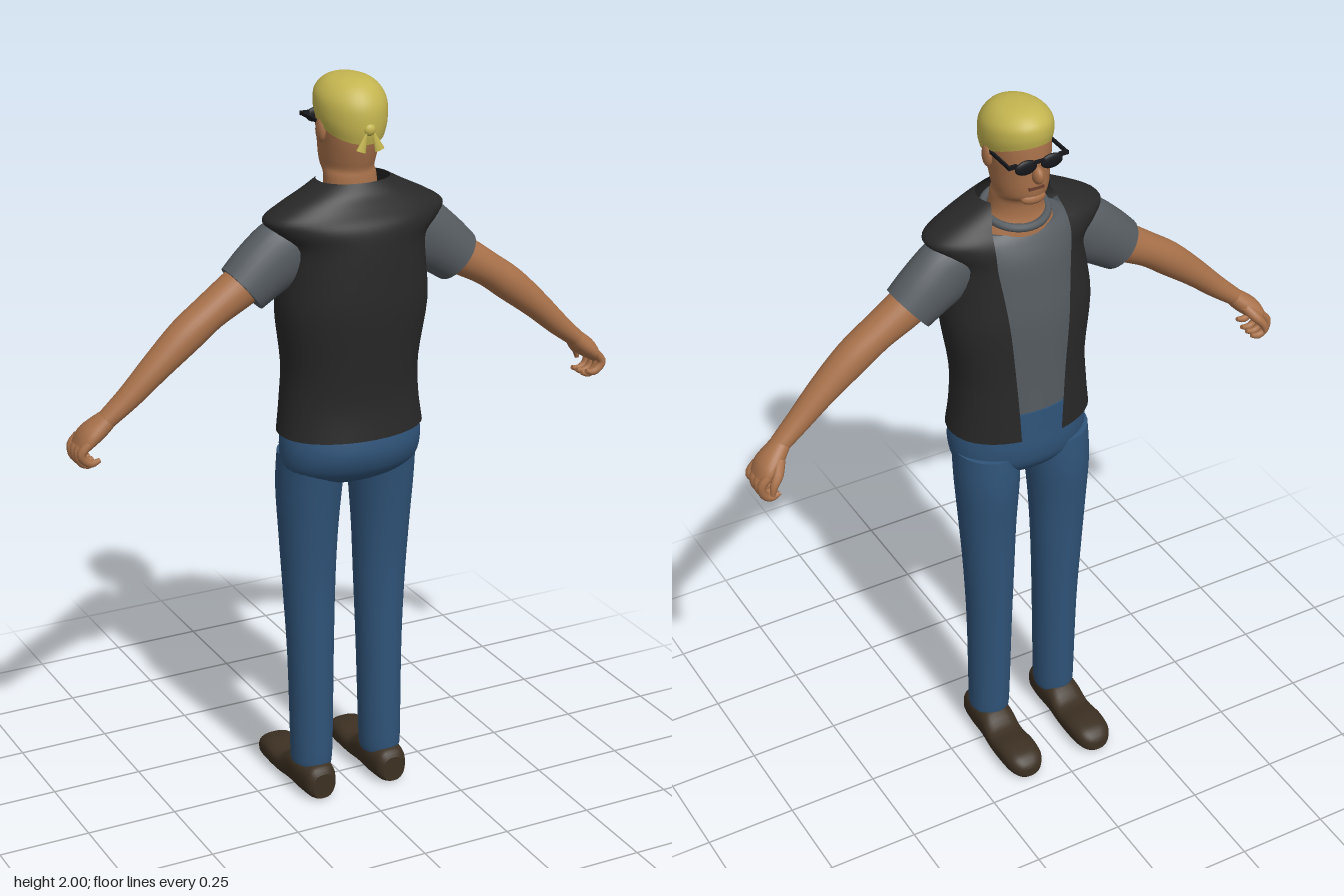
import * as THREE from 'three';

const mat = (name, color, side = THREE.FrontSide) => {
  const m = new THREE.MeshStandardMaterial({ color, side });
  m.name = name;
  return m;
};

// Catmull-Rom refinement of a list of number rows
function refine(rows, sub) {
  const out = [];
  for (let i = 0; i < rows.length - 1; i++) {
    const [a, b, c, d] = [rows[Math.max(i - 1, 0)], rows[i], rows[i + 1], rows[Math.min(i + 2, rows.length - 1)]];
    for (let k = 0; k < sub; k++) {
      const t = k / sub;
      out.push(b.map((q, j) => q + 0.5 * t * (c[j] - a[j] + t * (2 * a[j] - 5 * q + 4 * c[j] - d[j]
        + t * (3 * (q - c[j]) + d[j] - a[j])))));
    }
  }
  out.push(rows[rows.length - 1]);
  return out;
}

const power = (v, p) => Math.sign(v) * Math.abs(v) ** p;

// Closed skin through rows [x, y, z, radius across, radius in z]; p below 1 squares the section
function loft(rows, { n = 28, sub = 4, p = 1 } = {}) {
  const R = refine(rows, sub), pos = [], idx = [];
  const ring = (i) => {
    const [x, y, z, ru, rz] = R[i];
    const a = R[Math.max(i - 1, 0)], b = R[Math.min(i + 1, R.length - 1)];
    const len = Math.hypot(b[0] - a[0], b[1] - a[1]) || 1;
    const ux = (b[1] - a[1]) / len, uy = -(b[0] - a[0]) / len;
    for (let j = 0; j < n; j++) {
      const t = (j / n) * Math.PI * 2, c = power(Math.cos(t), p) * ru;
      pos.push(x + ux * c, y + uy * c, z + power(Math.sin(t), p) * rz);
    }
  };
  R.forEach((_, i) => ring(i));
  for (let i = 0; i < R.length - 1; i++) for (let j = 0; j < n; j++) {
    const a = i * n + j, b = i * n + (j + 1) % n;
    idx.push(a, a + n, b, b, a + n, b + n);
  }
  // end caps
  for (const end of [0, R.length - 1]) {
    const s = pos.length / 3;
    ring(end);
    pos.push(...R[end].slice(0, 3));
    for (let j = 0; j < n; j++) {
      const k = s + (j + 1) % n;
      if (end) idx.push(s + n, k, s + j);
      else idx.push(s + n, s + j, k);
    }
  }
  return surface(pos, idx);
}

function surface(pos, idx) {
  const g = new THREE.BufferGeometry();
  g.setAttribute('position', new THREE.Float32BufferAttribute(pos, 3));
  g.setIndex(idx);
  g.computeVertexNormals();
  return g;
}

// Open-fronted shell from rows [y, z, radius x, radius z, half width of opening]
function openShell(rows, n = 48) {
  const R = refine(rows, 4), pos = [], idx = [];
  R.forEach(([y, z, rx, rz, h], i) => {
    const d = Math.asin(Math.min(h / rx, 0.98));
    for (let j = 0; j <= n; j++) {
      const t = -Math.PI / 2 + d + (j / n) * 2 * (Math.PI - d);
      pos.push(rx * Math.cos(t), y, z + rz * power(Math.sin(t), 0.9));
      if (i < R.length - 1 && j < n) {
        const a = i * (n + 1) + j, b = a + n + 1;
        idx.push(a, b, a + 1, a + 1, b, b + 1);
      }
    }
  });
  return surface(pos, idx);
}

export function createModel() {
  const root = new THREE.Group();
  root.name = 'standingMan';
  const skin = mat('skin', 0xa8714a);
  const cloth = mat('greyShirt', 0x555b60);
  const leather = mat('blackVest', 0x282828, THREE.DoubleSide);
  const denim = mat('blueDenim', 0x2f5378);
  const yellow = mat('yellowCloth', 0xc4b550);
  const brown = mat('brownLeather', 0x3c3022);
  const black = mat('blackPlastic', 0x17181c);
  const lip = mat('lips', 0x6b4030);

  const add = (name, geo, m, x = 0, y = 0, z = 0) => {
    const mesh = new THREE.Mesh(geo, m);
    mesh.name = name;
    mesh.position.set(x, y, z);
    root.add(mesh);
    return mesh;
  };
  const ball = (name, m, p, s) => {
    const b = add(name, new THREE.SphereGeometry(1, 20, 14), m, ...p);
    b.scale.set(...s);
    return b;
  };

  // Head and neck
  add('headAndNeck', loft([
    [0, 1.6, 0.075, 0.13, 0.09], [0, 1.66, 0.07, 0.1, 0.08], [0, 1.7, 0.065, 0.073, 0.066],
    [0, 1.745, 0.06, 0.068, 0.066], [0, 1.765, 0.045, 0.066, 0.08], [0, 1.79, 0.045, 0.07, 0.088],
    [0, 1.83, 0.05, 0.075, 0.094], [0, 1.88, 0.053, 0.081, 0.097], [0, 1.93, 0.06, 0.081, 0.097],
    [0, 1.97, 0.065, 0.06, 0.075],
  ]), skin);
  ball('nose', skin, [0, 1.838, -0.047], [0.014, 0.024, 0.022]);
  ball('chin', skin, [0, 1.765, -0.025], [0.035, 0.018, 0.018]);
  add('mouth', new THREE.BoxGeometry(0.042, 0.008, 0.008), lip, 0, 1.8, -0.041);

  // Tied head cloth, lower at the back
  const cap = loft([
    [0, 1.878, 0.06, 0.083, 0.104], [0, 1.91, 0.062, 0.09, 0.11], [0, 1.95, 0.062, 0.087, 0.106],
    [0, 1.98, 0.058, 0.066, 0.082], [0, 1.995, 0.052, 0.036, 0.048], [0, 2, 0.05, 0.002, 0.002],
  ], { n: 36 });
  const cp = cap.attributes.position;
  for (let i = 0; i < cp.count; i++) {
    const k = Math.min(1, (2 - cp.getY(i)) / 0.122);
    cp.setY(i, cp.getY(i) - 0.36 * k * (cp.getZ(i) - 0.06));
  }
  cap.computeVertexNormals();
  add('headCloth', cap, yellow);
  ball('clothKnot', yellow, [0, 1.88, 0.167], [0.016, 0.016, 0.012]);

  for (const s of [-1, 1]) {
    const side = s > 0 ? 'left' : 'right';
    const tail = add(side + 'ClothTail', new THREE.ConeGeometry(0.014, 0.06, 10), yellow, s * 0.016, 1.855, 0.172);
    tail.rotation.z = s * 0.35;
    tail.scale.z = 0.45;
    ball(side + 'Ear', skin, [s * 0.081, 1.865, 0.06], [0.012, 0.032, 0.02]);

    // Sunglasses
    ball(side + 'Lens', black, [s * 0.036, 1.873, -0.054], [0.031, 0.02, 0.008]);
    add(side + 'GlassesArm', new THREE.BoxGeometry(0.006, 0.009, 0.11), black, s * 0.081, 1.882, 0.003);
    add(side + 'GlassesHinge', new THREE.BoxGeometry(0.025, 0.01, 0.008), black, s * 0.072, 1.882, -0.05);

    // Sleeve and bare arm
    add(side + 'Sleeve', loft([
      [s * 0.13, 1.605, 0.07, 0.07, 0.07], [s * 0.19, 1.57, 0.07, 0.09, 0.068],
      [s * 0.25, 1.53, 0.068, 0.083, 0.068], [s * 0.308, 1.483, 0.068, 0.073, 0.066],
    ]), cloth);
    add(side + 'Arm', loft([
      [s * 0.25, 1.53, 0.068, 0.055, 0.052], [s * 0.32, 1.485, 0.068, 0.053, 0.051],
      [s * 0.4, 1.435, 0.07, 0.046, 0.049], [s * 0.47, 1.383, 0.072, 0.046, 0.047],
      [s * 0.55, 1.315, 0.073, 0.038, 0.041], [s * 0.62, 1.25, 0.071, 0.031, 0.034],
      [s * 0.685, 1.195, 0.066, 0.024, 0.029],
    ]), skin);

    // Half-closed hand
    add(side + 'Palm', loft([
      [s * 0.67, 1.207, 0.067, 0.022, 0.027], [s * 0.7, 1.18, 0.058, 0.027, 0.038],
      [s * 0.73, 1.155, 0.052, 0.026, 0.046], [s * 0.752, 1.13, 0.05, 0.016, 0.044],
    ]), skin);
    for (let f = 0; f < 4; f++) {
      const z = 0.014 + f * 0.024, e = f === 3 ? 0.012 : 0;
      add(side + 'Finger' + (f + 1), loft([
        [s * 0.74, 1.148, z, 0.012, 0.013], [s * 0.76, 1.125, z, 0.012, 0.012],
        [s * 0.755, 1.095 + e, z, 0.011, 0.011], [s * 0.735, 1.082 + e, z, 0.01, 0.01],
        [s * 0.712, 1.088 + e, z, 0.006, 0.006],
      ], { n: 10, sub: 3 }), skin);
    }
    add(side + 'Thumb', loft([
      [s * 0.695, 1.18, 0.035, 0.014, 0.016], [s * 0.715, 1.155, 0.006, 0.014, 0.014],
      [s * 0.735, 1.13, -0.006, 0.011, 0.011], [s * 0.742, 1.105, -0.01, 0.006, 0.006],
    ], { n: 10, sub: 3 }), skin);

    // Trouser leg
    add(side + 'TrouserLeg', loft([
      [s * 0.107, 0.085, 0.04, 0.054, 0.058], [s * 0.105, 0.13, 0.04, 0.057, 0.062],
      [s * 0.104, 0.4, 0.035, 0.062, 0.067], [s * 0.106, 0.6, 0.031, 0.07, 0.073],
      [s * 0.108, 0.76, 0.032, 0.078, 0.083], [s * 0.107, 0.9, 0.035, 0.087, 0.096],
      [s * 0.103, 1.0, 0.045, 0.09, 0.1],
    ]), denim);

    // Shoe, lofted from heel to toe
    add(side + 'Shoe', loft([
      [s * 0.108, -0.122, 0.04, 0.03, 0.036], [s * 0.108, -0.105, 0.048, 0.044, 0.047],
      [s * 0.108, -0.05, 0.051, 0.051, 0.05], [s * 0.109, 0.01, 0.05, 0.051, 0.049],
      [s * 0.11, 0.065, 0.034, 0.053, 0.033], [s * 0.11, 0.13, 0.037, 0.055, 0.036],
      [s * 0.11, 0.18, 0.034, 0.05, 0.033], [s * 0.11, 0.205, 0.026, 0.034, 0.024],
      [s * 0.11, 0.214, 0.022, 0.016, 0.014],
    ], { p: 0.75 }).rotateX(-Math.PI / 2), brown);
  }
  add('glassesBridge', new THREE.BoxGeometry(0.03, 0.007, 0.008), black, 0, 1.882, -0.056);

  // Shirt body and collar
  add('shirtBody', loft([
    [0, 1.1, 0.055, 0.172, 0.118], [0, 1.25, 0.06, 0.17, 0.122], [0, 1.4, 0.068, 0.186, 0.13],
    [0, 1.5, 0.075, 0.178, 0.127], [0, 1.58, 0.078, 0.173, 0.118], [0, 1.63, 0.08, 0.165, 0.1],
    [0, 1.655, 0.08, 0.13, 0.085],
  ], { n: 40 }), cloth);
  const collar = add('shirtCollar', new THREE.TorusGeometry(0.082, 0.011, 10, 36), cloth, 0, 1.69, 0.066);
  collar.rotation.x = Math.PI / 2 - 0.2;

  // Sleeveless open vest
  add('vest', openShell([
    [1.065, 0.06, 0.2, 0.14, 0.06], [1.15, 0.056, 0.19, 0.136, 0.065], [1.25, 0.06, 0.186, 0.139, 0.072],
    [1.4, 0.069, 0.206, 0.146, 0.085], [1.5, 0.075, 0.198, 0.141, 0.095], [1.58, 0.079, 0.195, 0.134, 0.105],
    [1.625, 0.081, 0.232, 0.126, 0.108], [1.655, 0.081, 0.248, 0.113, 0.108], [1.685, 0.083, 0.205, 0.1, 0.105],
    [1.715, 0.083, 0.145, 0.088, 0.095], [1.74, 0.078, 0.098, 0.074, 0.085],
  ]), leather);

  // Trouser seat and waist
  add('trouserSeat', loft([
    [0, 0.925, 0.05, 0.13, 0.07], [0, 0.945, 0.056, 0.165, 0.098], [0, 0.975, 0.06, 0.19, 0.122],
    [0, 1.02, 0.064, 0.197, 0.134], [0, 1.07, 0.062, 0.193, 0.131], [0, 1.14, 0.055, 0.178, 0.122],
  ], { n: 40 }), denim);

  return root;
}
